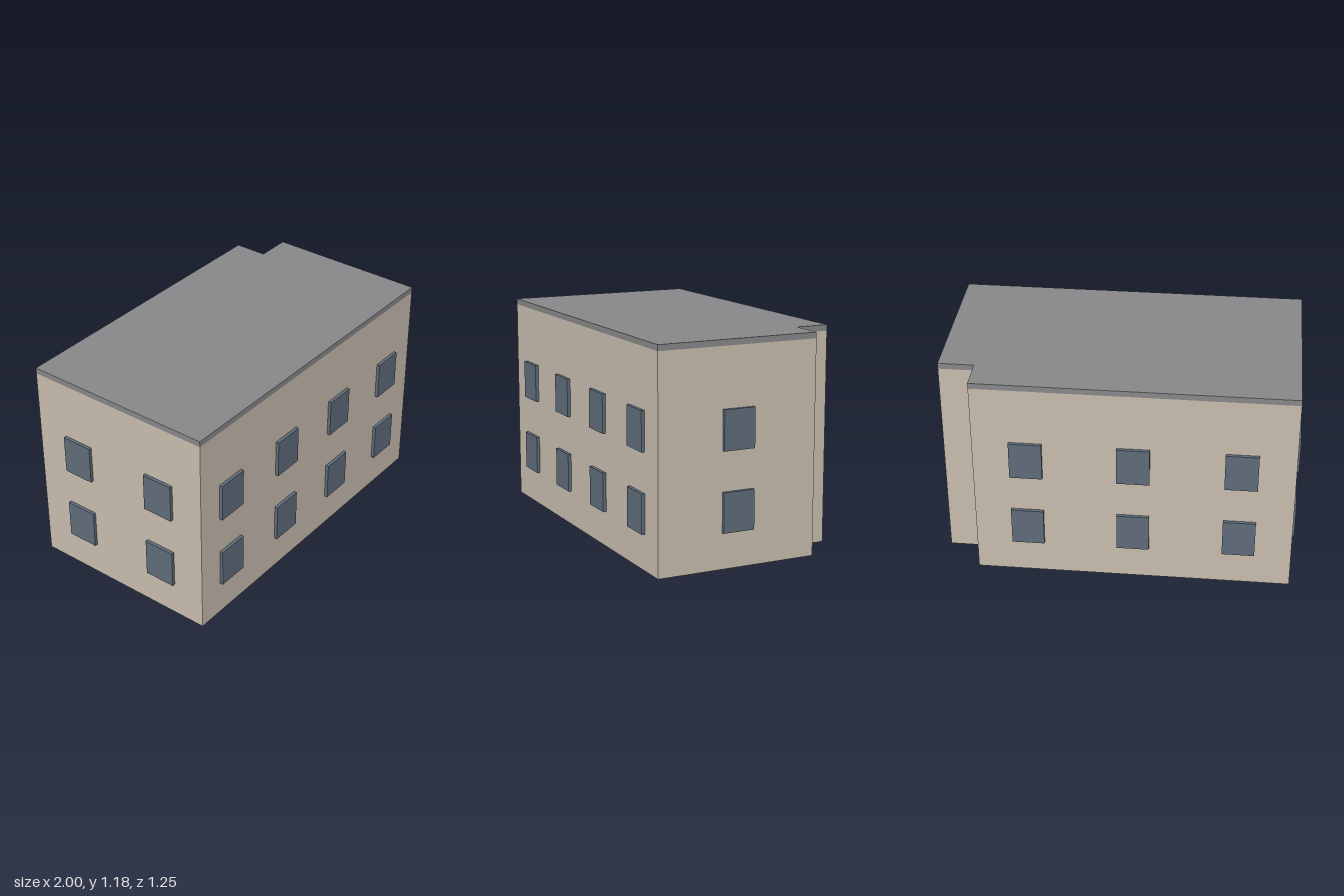
import * as THREE from 'three';

// Footprint corners as [x, z], running along the front first
const FOOTPRINT = [
  [-0.885, 0.62], [1, 0.424], [0.905, -0.466],
  [0.714, -0.446], [0.695, -0.628], [-1, -0.451],
];
const WALL_TOP = 1.145;
const ROOF_TOP = 1.177;

// Flat slab of the footprint between two heights
function slab(y0, y1) {
  const shape = new THREE.Shape(FOOTPRINT.map(([x, z]) => new THREE.Vector2(x, -z)));
  const geometry = new THREE.ExtrudeGeometry(shape, { depth: y1 - y0, bevelEnabled: false });
  geometry.rotateX(-Math.PI / 2);
  geometry.translate(0, y0, 0);
  return geometry;
}

export function createModel() {
  const wall = new THREE.MeshStandardMaterial({ color: 0xc8bdae });
  wall.name = 'beige wall';
  const roofing = new THREE.MeshStandardMaterial({ color: 0x88888a });
  roofing.name = 'grey roof';
  const glass = new THREE.MeshStandardMaterial({ color: 0x5f6c7a });
  glass.name = 'blue grey glass';

  const building = new THREE.Group();
  building.name = 'building';

  const add = (name, geometry, material) => {
    const mesh = new THREE.Mesh(geometry, material);
    mesh.name = name;
    building.add(mesh);
    return mesh;
  };
  add('walls', slab(0, WALL_TOP), wall);
  add('roof', slab(WALL_TOP, ROOF_TOP), roofing);

  // Windows, evenly spaced on each long wall, on two floors
  const paneGeometry = new THREE.BoxGeometry(0.175, 0.212, 0.036);
  const facades = [
    { name: 'frontWindow', edge: 0, count: 4 },
    { name: 'leftWindow', edge: 1, count: 1 },
    { name: 'backWindow', edge: 4, count: 3 },
    { name: 'rightWindow', edge: 5, count: 2 },
  ];
  for (const { name, edge, count } of facades) {
    const [ax, az] = FOOTPRINT[edge];
    const [bx, bz] = FOOTPRINT[(edge + 1) % FOOTPRINT.length];
    for (let i = 0; i < count; i++) {
      const t = (i + 0.5) / count;
      for (const y of [0.298, 0.722]) {
        const pane = add(name, paneGeometry, glass);
        pane.position.set(ax + (bx - ax) * t, y, az + (bz - az) * t);
        pane.rotation.y = Math.atan2(az - bz, bx - ax);
      }
    }
  }
  return building;
}
